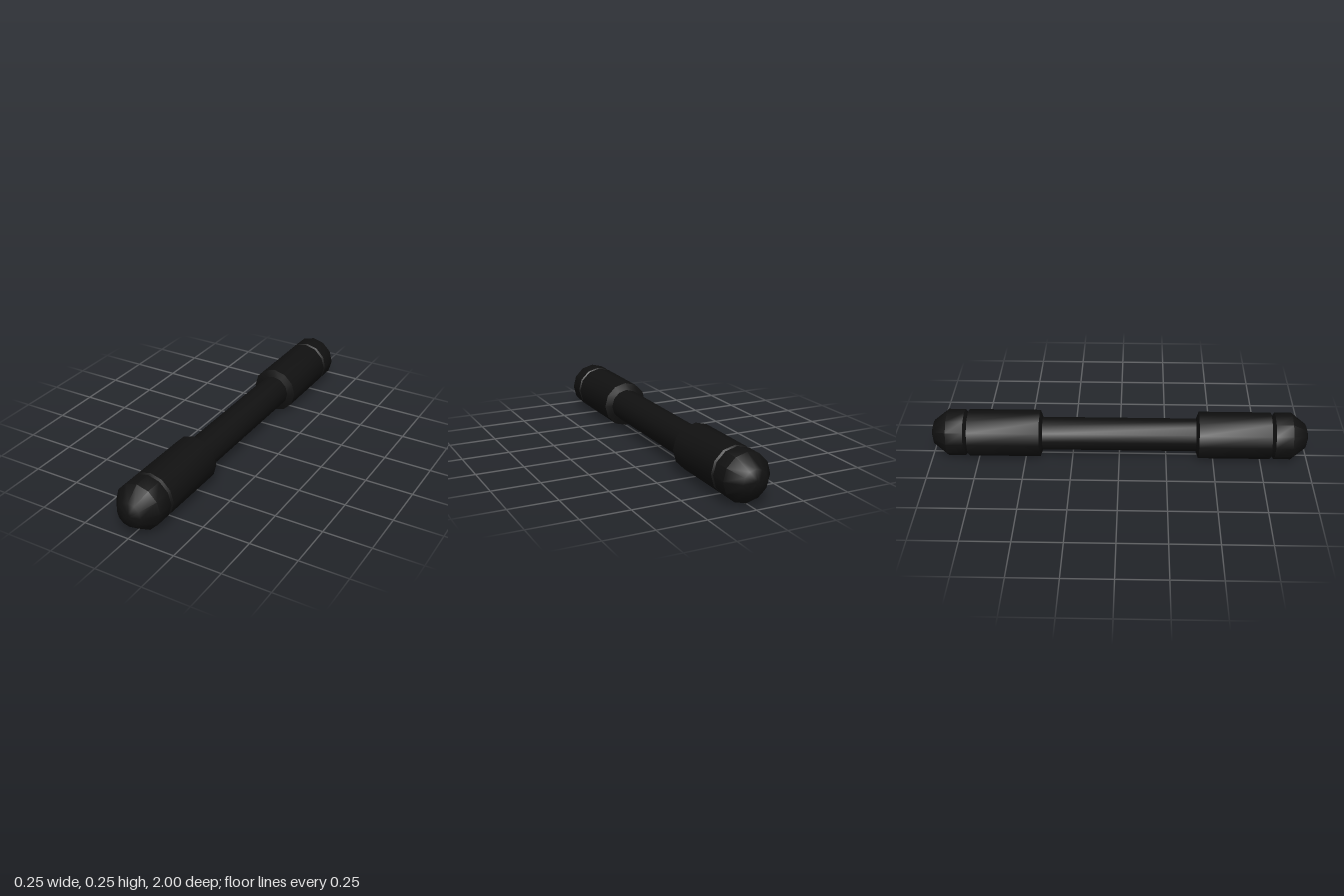
import * as THREE from 'three';
import { toCreasedNormals } from 'three/addons/utils/BufferGeometryUtils.js';

const SIDES = 12;
const AXIS_HEIGHT = 0.124;

// Turned part lying along z, from [radius, z] points listed in rising z
function turned(name, profile, material) {
  const points = profile.map(([r, z]) => new THREE.Vector2(r, z));
  const geometry = new THREE.LatheGeometry(points, SIDES).rotateX(Math.PI / 2);
  const mesh = new THREE.Mesh(toCreasedNormals(geometry, 0.8), material);
  mesh.name = name;
  return mesh;
}

export function createModel() {
  const material = new THREE.MeshStandardMaterial({ color: 0x111111, side: THREE.DoubleSide });
  const model = new THREE.Group();
  model.name = 'doubleEndedBaton';

  // Slim middle bar
  const handle = turned('handle', [[0.087, -0.41], [0.087, 0.41]], material);
  handle.position.y = AXIS_HEIGHT;
  model.add(handle);

  // Matching ends: thick sleeve, narrow groove and domed cap
  for (const [name, turn] of [['frontEnd', 0], ['backEnd', Math.PI]]) {
    const end = new THREE.Group();
    end.name = name;
    end.add(
      turned('sleeve', [[0.085, 0.405], [0.124, 0.42], [0.124, 0.8], [0.108, 0.81]], material),
      turned('cap', [
        [0.108, 0.81], [0.124, 0.82], [0.124, 0.91],
        [0.065, 0.985], [0.017, 1], [0, 1],
      ], material),
    );
    end.position.y = AXIS_HEIGHT;
    end.rotation.y = turn;
    model.add(end);
  }
  return model;
}
